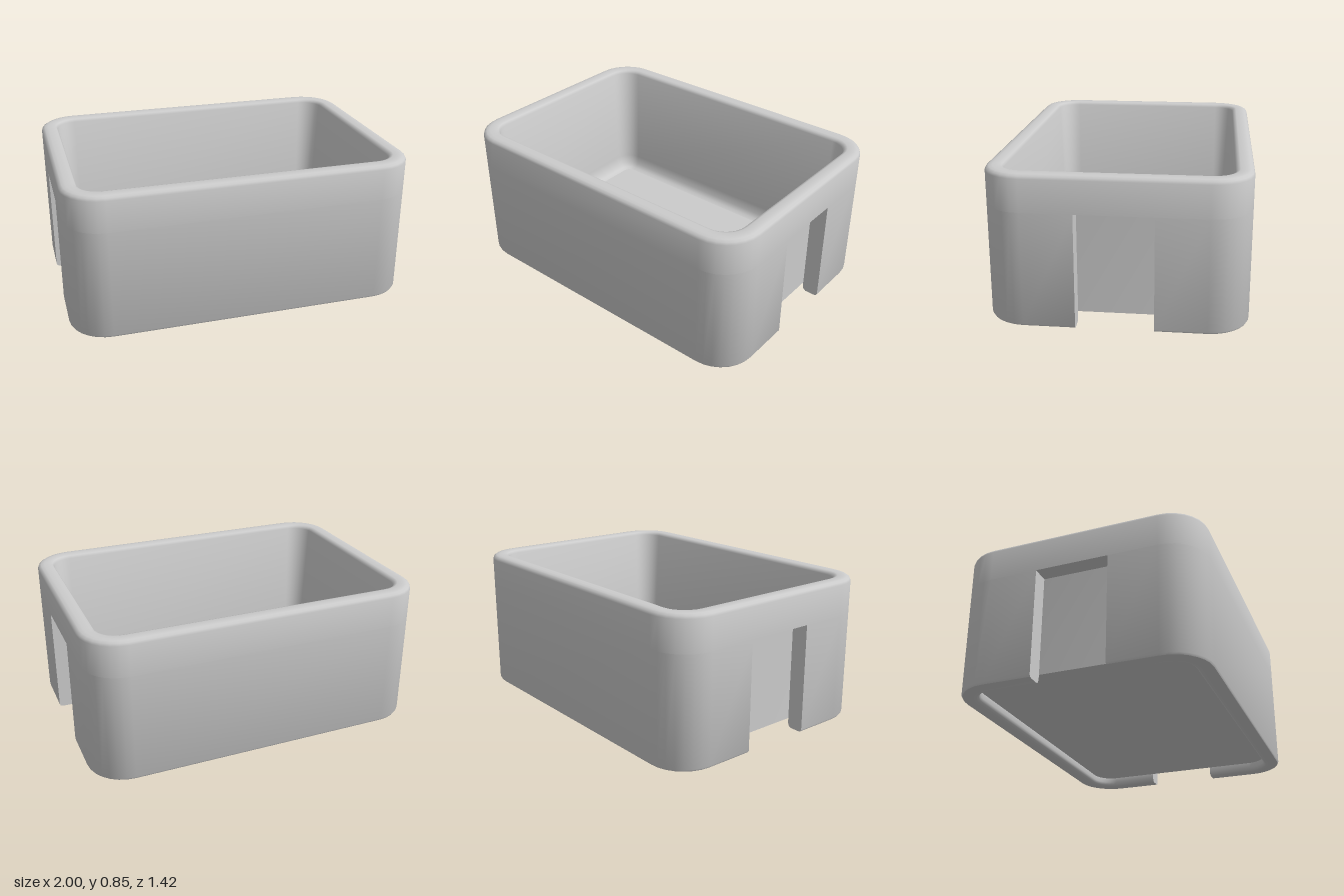
import * as THREE from 'three';
import { toCreasedNormals } from 'three/addons/utils/BufferGeometryUtils.js';

const HALF_X = 1, HALF_Z = 0.71, RADIUS = 0.22, STEPS = 7;
const NOTCH_Z = 0.21, NOTCH_TOP = 0.64, WALL = 0.1, UNDERSIDE = 0.055, FLOOR = 0.08;

// Arc of the rounded rectangle over a run of corners, as [x, z] pairs
function corners(inset, count) {
  const r = RADIUS - inset, points = [];
  for (let c = 0; c < count; c++) {
    const cx = (c === 0 || c === 3 ? 1 : -1) * (HALF_X - RADIUS);
    const cz = (c < 2 ? 1 : -1) * (HALF_Z - RADIUS);
    for (let i = 0; i <= STEPS; i++) {
      const a = (c + i / STEPS) * Math.PI / 2;
      points.push([cx + r * Math.cos(a), cz + r * Math.sin(a)]);
    }
  }
  return points;
}

const fullOutline = (inset) => {
  const points = corners(inset, 4);
  return [...points, points[0]];
};

const halfOutline = (inset) => [
  [HALF_X - inset, NOTCH_Z], ...corners(inset, 2), [-HALF_X + inset, NOTCH_Z],
];

// Surface through the [inset, y] profile, following the given outline
function loft(profile, outline) {
  const positions = [], index = [];
  const n = outline(0).length;
  profile.forEach(([inset, y], i) => {
    outline(inset).forEach(([x, z], j) => {
      positions.push(x, y, z);
      if (i < profile.length - 1 && j < n - 1) {
        const a = i * n + j, b = a + n;
        index.push(a, b, a + 1, b, b + 1, a + 1);
      }
    });
  });
  const geometry = new THREE.BufferGeometry();
  geometry.setAttribute('position', new THREE.Float32BufferAttribute(positions, 3));
  geometry.setIndex(index);
  return toCreasedNormals(geometry, 0.75);
}

// Flat rounded panel facing up (1) or down (-1)
function panel(inset, y, facing) {
  const shape = new THREE.Shape(corners(inset, 4).map(([x, z]) => new THREE.Vector2(x, z)));
  return new THREE.ShapeGeometry(shape).rotateX(-facing * Math.PI / 2).translate(0, y, 0);
}

export function createModel() {
  const model = new THREE.Group();
  const material = new THREE.MeshStandardMaterial({ color: 0xcccccc });
  const add = (name, geometry, parent = model) => {
    const mesh = new THREE.Mesh(geometry, material);
    mesh.name = name;
    parent.add(mesh);
  };

  // Basin: recessed lower wall, overhanging upper band, rim and inner wall
  add('basin', loft([
    [WALL, UNDERSIDE], [WALL, NOTCH_TOP], [0, NOTCH_TOP],
    [0, 0.82], [0.006, 0.834], [0.02, 0.843], [0.04, 0.845],
    [0.075, 0.845], [0.09, 0.84], [WALL, 0.825],
    [0.115, 0.17], [0.125, 0.115], [0.145, 0.088], [0.17, FLOOR],
  ], fullOutline));
  add('basinFloor', panel(0.17, FLOOR, 1));
  add('underside', panel(WALL, UNDERSIDE, -1));

  // Skirt: two C-shaped halves, leaving a notch at each end
  const skirtProfile = [
    [WALL, UNDERSIDE], [WALL, 0.025], [0.093, 0.008], [0.08, 0],
    [0.02, 0], [0.006, 0.004], [0, 0.015], [0, NOTCH_TOP],
  ];
  ['frontSkirt', 'backSkirt'].forEach((name, i) => {
    const skirt = new THREE.Group();
    skirt.name = name;
    skirt.rotation.y = i * Math.PI;
    add('skirtWall', loft(skirtProfile, halfOutline), skirt);
    for (const side of [1, -1]) {
      const shape = new THREE.Shape([...skirtProfile, [WALL, NOTCH_TOP]]
        .map(([inset, y]) => new THREE.Vector2(side * (HALF_X - inset), y)));
      add('notchSide', new THREE.ShapeGeometry(shape).rotateY(Math.PI).translate(0, 0, NOTCH_Z), skirt);
    }
    model.add(skirt);
  });

  return model;
}
